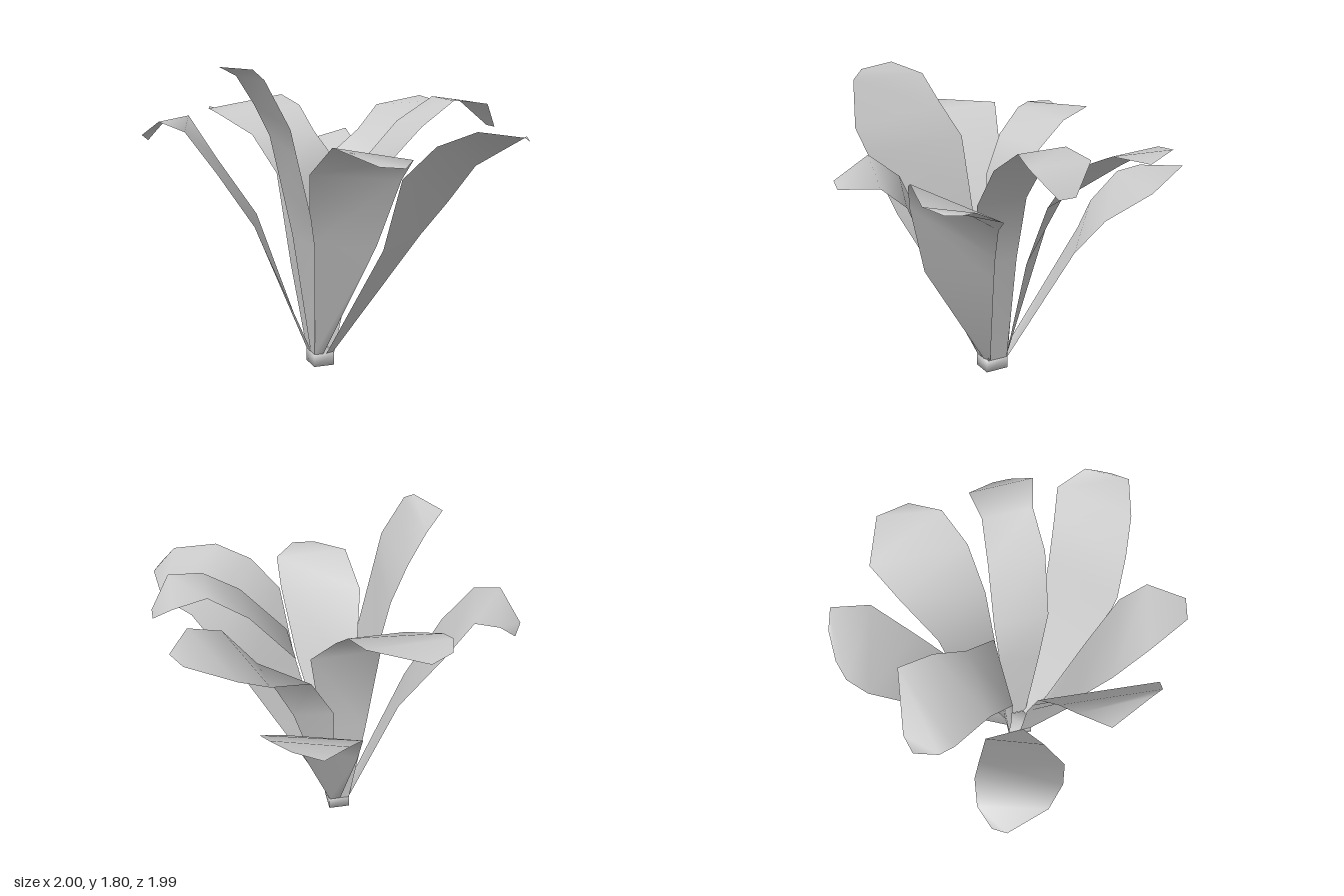
import * as THREE from 'three';
import { mergeVertices } from 'three/addons/utils/BufferGeometryUtils.js';

const material = new THREE.MeshStandardMaterial({ color: 0xcccccc });
const leafMaterial = new THREE.MeshStandardMaterial({ color: 0xcccccc, side: THREE.DoubleSide });
const stubTop = 0.075;

// A thin leaf lofted through pairs of edge points, from the stub to the tip.
// base holds x and z of its two corners on the rim of the stub.
function leaf(name, base, rows) {
  const all = [base.map(([x, z]) => [x, stubTop, z]), ...rows];
  const index = [];
  for (let i = 0; i < all.length - 1; i++) {
    const a = i * 2;
    index.push(a, a + 1, a + 3, a, a + 3, a + 2);
  }
  const geometry = new THREE.BufferGeometry();
  geometry.setAttribute('position', new THREE.Float32BufferAttribute(all.flat(2), 3));
  geometry.setIndex(index);
  geometry.computeVertexNormals();
  const mesh = new THREE.Mesh(geometry, leafMaterial);
  mesh.name = name;
  return mesh;
}

// Square stub with shared, smooth corners
function createStub() {
  let geometry = new THREE.BoxGeometry(0.125, stubTop, 0.145);
  geometry.deleteAttribute('normal');
  geometry.deleteAttribute('uv');
  geometry = mergeVertices(geometry);
  geometry.computeVertexNormals();
  const stub = new THREE.Mesh(geometry, material);
  stub.name = 'stub';
  stub.position.set(-0.025, stubTop / 2, 0);
  return stub;
}

export function createModel() {
  const plant = new THREE.Group();
  plant.name = 'leafyPlant';

  // Each row is one cross-section: [edge, opposite edge]
  plant.add(
    createStub(),
    leaf('frontLeaf', [[-0.085, 0.07], [-0.03, 0.07]], [
      [[-0.2, 0.8, 0.3], [0.14, 0.8, 0.46]],
      [[-0.26, 1.23, 0.48], [0.2, 1.2, 0.65]],
      [[-0.21, 1.4, 0.69], [0.2, 1.33, 0.8]],
      [[-0.06, 1.33, 0.96], [0.07, 1.32, 0.99]],
    ]),
    leaf('frontLeftLeaf', [[0.04, 0.05], [-0.01, 0.07]], [
      [[0.49, 0.8, 0.28], [0.15, 0.79, 0.53]],
      [[0.63, 1.0, 0.35], [0.21, 1.2, 0.64]],
      [[0.77, 1.21, 0.41], [0.37, 1.38, 0.72]],
      [[0.93, 1.31, 0.47], [0.57, 1.46, 0.8]],
      [[0.96, 1.4, 0.64], [0.82, 1.425, 0.86]],
      [[0.94, 1.39, 0.7], [0.9, 1.39, 0.78]],
    ]),
    leaf('leftLeaf', [[0.04, -0.065], [0.04, 0.065]], [
      [[0.14, 0.75, -0.07], [0.14, 0.75, 0.17]],
      [[0.23, 1.15, -0.08], [0.23, 1.15, 0.24]],
      [[0.48, 1.43, -0.05], [0.49, 1.43, 0.28]],
      [[0.7, 1.57, -0.03], [0.7, 1.57, 0.26]],
      [[0.89, 1.54, -0.06], [0.89, 1.55, 0.31]],
      [[1.0, 1.4, 0.1], [1.0, 1.4, 0.2]],
    ]),
    leaf('backLeftLeaf', [[0.04, -0.06], [0.01, -0.075]], [
      [[0.25, 0.75, -0.07], [0.06, 0.93, -0.34]],
      [[0.45, 1.15, -0.08], [0.2, 1.2, -0.41]],
      [[0.64, 1.42, -0.13], [0.44, 1.32, -0.57]],
      [[0.83, 1.52, -0.23], [0.62, 1.46, -0.69]],
      [[0.94, 1.48, -0.4], [0.88, 1.52, -0.59]],
    ]),
    leaf('backLeaf', [[0.035, -0.075], [-0.03, -0.075]], [
      [[0.28, 0.77, -0.38], [-0.02, 0.8, -0.6]],
      [[0.37, 0.97, -0.53], [-0.02, 0.96, -0.69]],
      [[0.53, 1.15, -0.74], [0.01, 1.13, -0.86]],
      [[0.51, 1.28, -0.96], [0.1, 1.18, -0.96]],
      [[0.4, 1.22, -1.0], [0.24, 1.14, -1.0]],
    ]),
    leaf('backRightLeaf', [[-0.085, -0.075], [0.03, -0.075]], [
      [[-0.18, 0.6, -0.08], [0.08, 0.6, -0.09]],
      [[-0.26, 1.15, -0.09], [0.15, 1.15, -0.1]],
      [[-0.36, 1.36, -0.24], [0.04, 1.36, -0.28]],
      [[-0.51, 1.47, -0.46], [0.01, 1.5, -0.46]],
      [[-0.54, 1.49, -0.55], [-0.04, 1.55, -0.66]],
      [[-0.5, 1.49, -0.68], [-0.38, 1.45, -0.71]],
    ]),
    leaf('rightLeaf', [[-0.085, -0.07], [-0.085, 0.02]], [
      [[-0.33, 0.88, -0.27], [-0.44, 0.87, 0.05]],
      [[-0.55, 1.22, -0.35], [-0.67, 1.2, 0.1]],
      [[-0.7, 1.47, -0.4], [-0.83, 1.43, 0.04]],
      [[-0.84, 1.44, -0.42], [-0.95, 1.48, -0.07]],
      [[-0.95, 1.34, -0.37], [-1.0, 1.38, -0.3]],
    ]),
    leaf('frontRightLeaf', [[-0.085, 0.0], [-0.085, 0.07]], [
      [[-0.2, 0.8, 0.01], [-0.2, 0.8, 0.4]],
      [[-0.27, 1.1, 0.02], [-0.26, 1.0, 0.5]],
      [[-0.34, 1.39, 0.03], [-0.38, 1.35, 0.62]],
      [[-0.45, 1.57, 0.11], [-0.43, 1.5, 0.67]],
      [[-0.57, 1.74, 0.17], [-0.55, 1.75, 0.62]],
      [[-0.7, 1.8, 0.31], [-0.59, 1.8, 0.55]],
    ])
  );
  return plant;
}
